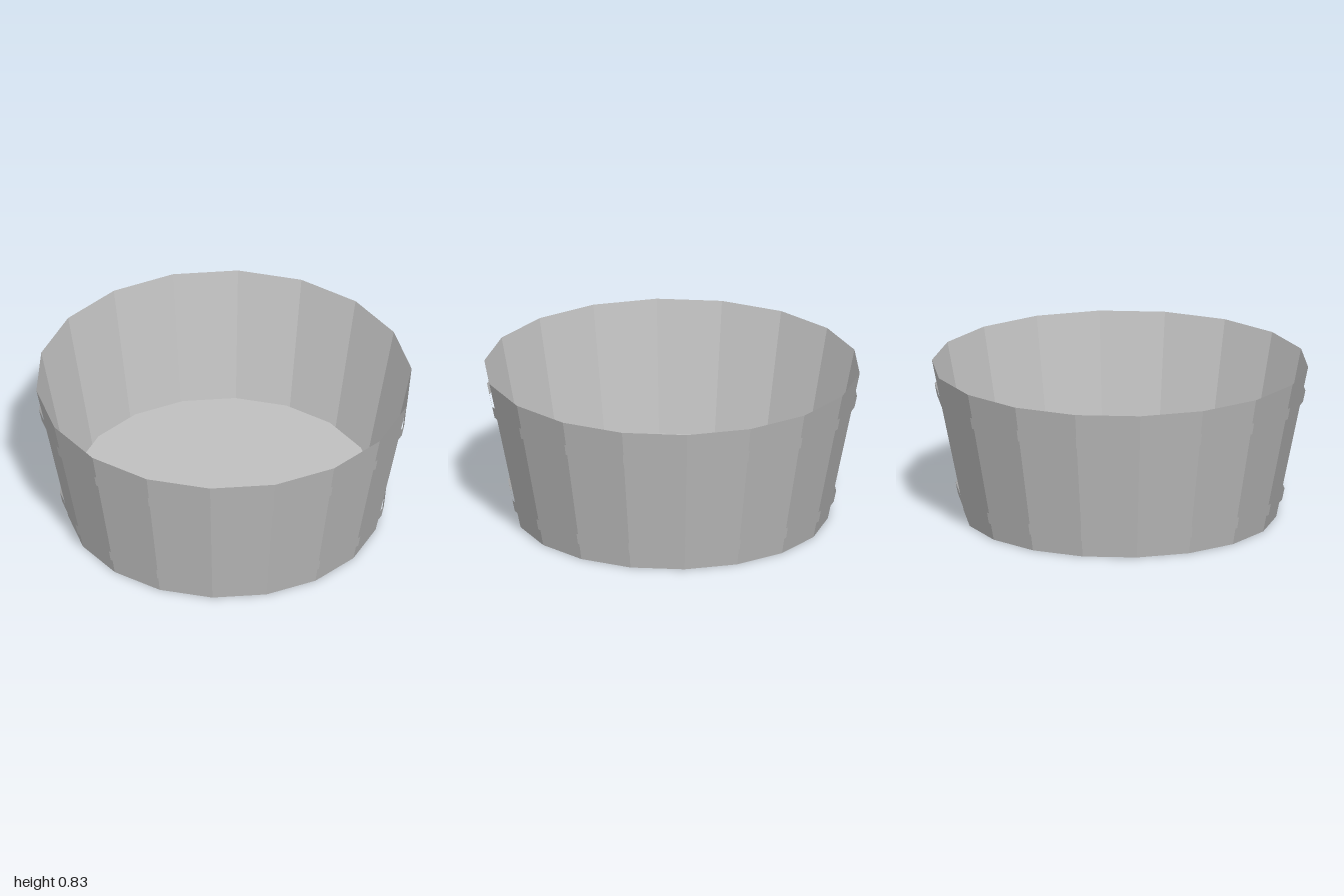
import * as THREE from 'three';

const SIDES = 18;
const HEIGHT = 0.83;
const BASE_RADIUS = 0.83;
const RIM_RADIUS = 1;

export function createModel() {
  const group = new THREE.Group();
  group.name = 'tub';

  const grey = new THREE.MeshStandardMaterial({ color: 0xc0c0c0, flatShading: true, side: THREE.DoubleSide });
  grey.name = 'plain grey';

  const add = (name, geometry, y) => {
    const mesh = new THREE.Mesh(geometry, grey);
    mesh.name = name;
    mesh.position.y = y;
    group.add(mesh);
  };

  // Open tapered ring with a corner on the x axis
  const ring = (top, bottom, height) =>
    new THREE.CylinderGeometry(top, bottom, height, SIDES, 1, true, Math.PI / 2);
  const wallRadius = (y) => BASE_RADIUS + (RIM_RADIUS - BASE_RADIUS) * (y / HEIGHT);

  // Thin flared wall
  add('wall', ring(RIM_RADIUS, BASE_RADIUS, HEIGHT), HEIGHT / 2);

  // Underside, and the raised floor inside
  const disc = (radius, direction) =>
    new THREE.CircleGeometry(radius, SIDES).rotateX(direction * Math.PI / 2);
  add('base', disc(BASE_RADIUS, 1), 0);
  add('innerFloor', disc(0.805, -1), 0.138);

  // Two hoops standing just off the wall
  const hoops = [['lowerHoop', 0.095, 0.157], ['upperHoop', 0.637, 0.7]];
  for (const [name, low, high] of hoops) {
    const gap = 0.012;
    add(name, ring(wallRadius(high) + gap, wallRadius(low) + gap, high - low), (low + high) / 2);
  }

  return group;
}
